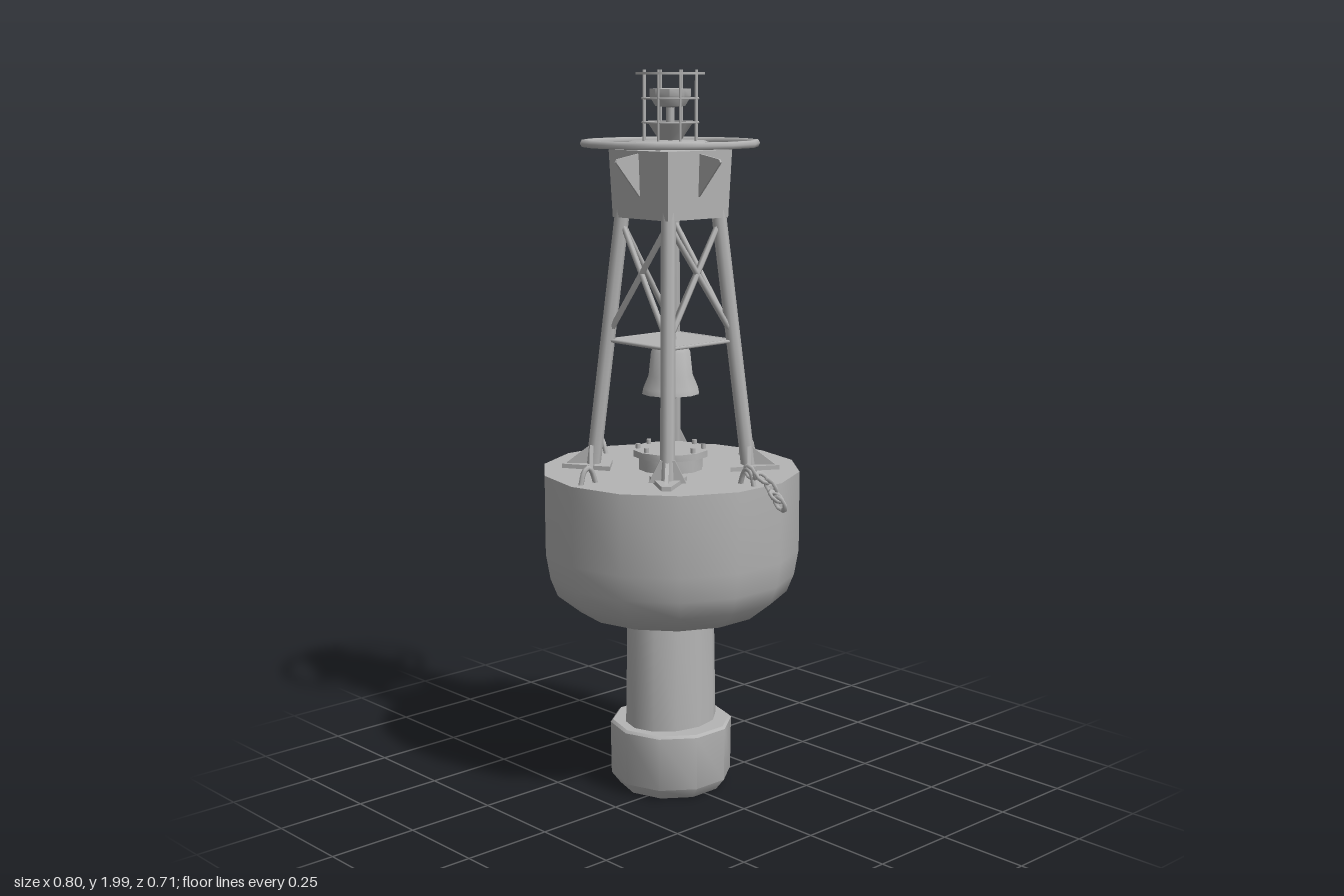
import * as THREE from 'three';
import { toCreasedNormals } from 'three/addons/utils/BufferGeometryUtils.js';

export function createModel() {
  const model = new THREE.Group();
  const buoy = new THREE.Group();
  buoy.name = 'buoy';
  buoy.position.x = -0.045;
  model.add(buoy);
  const grey = new THREE.MeshStandardMaterial({ color: 0xb4b4b4, side: THREE.DoubleSide });
  grey.name = 'grey paint';

  const V = (x, y, z) => new THREE.Vector3(x, y, z);
  function add(name, geo, x = 0, y = 0, z = 0, parent = buoy) {
    const m = new THREE.Mesh(geo, grey);
    m.name = name;
    m.position.set(x, y, z);
    parent.add(m);
    return m;
  }
  // Revolved profile, bottom to top, creased at sharp corners
  function lathe(name, pts, sides, parent = buoy) {
    const g = new THREE.LatheGeometry(pts.map(p => new THREE.Vector2(p[0], p[1])), sides);
    return add(name, toCreasedNormals(g, 0.7), 0, 0, 0, parent);
  }
  // Round bar between two points
  function bar(name, a, b, r, sides = 8, parent = buoy) {
    const m = add(name, new THREE.CylinderGeometry(r, r, a.distanceTo(b), sides), 0, 0, 0, parent);
    m.position.copy(a).add(b).multiplyScalar(0.5);
    m.quaternion.setFromUnitVectors(V(0, 1, 0), b.clone().sub(a).normalize());
    return m;
  }
  // Flat plate in the xy plane
  function plate(name, pts, depth, parent) {
    const s = new THREE.Shape(pts.map(p => new THREE.Vector2(p[0], p[1])));
    const g = new THREE.ExtrudeGeometry(s, { depth, bevelEnabled: false });
    g.translate(0, 0, -depth / 2);
    return add(name, g, 0, 0, 0, parent);
  }
  function turned(name, angle) {
    const g = new THREE.Group();
    g.name = name;
    g.rotation.y = angle;
    buoy.add(g);
    return g;
  }

  // Float body, stem and counterweight
  lathe('hull', [[0, 0.515], [0.2, 0.515], [0.26, 0.528], [0.325, 0.58], [0.345, 0.63],
    [0.357, 0.7], [0.357, 0.92], [0, 0.92]], 14);
  const stem = lathe('stem', [[0.115, 0.19], [0.11, 0.52]], 12);
  stem.scale.z = 1.2;
  lathe('counterweight', [[0, 0.008], [0.145, 0.008], [0.17, 0.04], [0.172, 0.19], [0.165, 0.197], [0, 0.197]], 10);
  const stemGusset = turned('stemGusset', Math.PI / 2);
  plate('stemGussetPlate', [[0.1, 0.43], [0.16, 0.517], [0.1, 0.517]], 0.012, stemGusset);

  // Deck hatch with flange and bolts
  lathe('hatch', [[0.09, 0.92], [0.09, 0.955], [0.105, 0.957], [0.105, 0.975], [0, 0.975]], 12);
  for (let i = 0; i < 8; i++) {
    const a = i * Math.PI / 4;
    add('hatchBolt', new THREE.CylinderGeometry(0.007, 0.007, 0.014, 6),
      0.09 * Math.cos(a), 0.981, 0.09 * Math.sin(a));
  }

  // Tower: legs, feet, lifting eyes, cross bracing and head fins on four sides
  const half = y => 0.152 - (y - 0.92) / 0.7 * 0.06;
  for (let i = 0; i < 4; i++) {
    const side = turned('towerSide', i * Math.PI / 2);
    const corner = (s, y) => V(s * half(y), y, half(y));
    bar('leg', corner(1, 0.92), corner(1, 1.63), 0.02, 8, side);
    bar('brace', corner(-1, 1.29), corner(1, 1.6), 0.008, 6, side);
    bar('brace', corner(1, 1.29), corner(-1, 1.6), 0.008, 6, side);
    bar('shelfEdge', corner(-1, 1.275), corner(1, 1.275), 0.005, 6, side);

    const foot = new THREE.Group();
    foot.name = 'foot';
    foot.rotation.y = -Math.PI / 4;
    side.add(foot);
    plate('footGusset', [[0.2, 0.925], [0.295, 0.925], [0.285, 0.935], [0.22, 0.985]], 0.01, foot);
    const cross = plate('footGusset', [[-0.05, 0.925], [0.05, 0.925], [0.02, 0.985], [-0.02, 0.985]], 0.01, foot);
    cross.rotation.y = Math.PI / 2;
    cross.position.x = 0.217;
    const base = plate('footPlate', [[0.165, -0.05], [0.3, -0.012], [0.3, 0.012], [0.165, 0.05]], 0.012, foot);
    base.rotation.x = Math.PI / 2;
    base.position.y = 0.926;

    const eye = new THREE.CatmullRomCurve3([V(0.325, 0.915, 0), V(0.312, 0.955, 0), V(0.296, 0.963, 0),
      V(0.285, 0.95, 0), V(0.272, 0.915, 0)]);
    add('liftingEye', new THREE.TubeGeometry(eye, 10, 0.007, 6), 0, 0, 0, side);
    plate('headFin', [[0.1, 1.655], [0.195, 1.762], [0.19, 1.77], [0.1, 1.785]], 0.006, side);
  }
  add('bellShelf', new THREE.BoxGeometry(0.245, 0.006, 0.245), 0, 1.275, 0);

  // Bell with crown and clapper
  lathe('bell', [[0.07, 1.13], [0.08, 1.13], [0.077, 1.145], [0.062, 1.18], [0.055, 1.245],
    [0.043, 1.262], [0, 1.264]], 12);
  add('bellCrown', new THREE.CylinderGeometry(0.014, 0.02, 0.035, 8), 0, 1.277, 0);
  add('clapperRod', new THREE.CylinderGeometry(0.006, 0.006, 0.12, 6), 0, 1.19, 0);
  add('clapper', new THREE.SphereGeometry(0.02, 8, 6), 0, 1.127, 0);

  // Head housing and roof
  const housing = new THREE.CylinderGeometry(0.117 * Math.SQRT2, 0.11 * Math.SQRT2, 0.18, 4, 1, false, Math.PI / 4);
  add('headHousing', toCreasedNormals(housing, 0.7), 0, 1.7, 0);
  const roof = new THREE.CylinderGeometry(0.1, 0.165, 0.022, 5);
  add('headRoof', toCreasedNormals(roof, 0.5), 0, 1.803, 0).rotation.y = 0.35;

  // Guard ring with struts
  const ring = add('guardRing', new THREE.TorusGeometry(0.231, 0.011, 6, 14), 0, 1.807, 0);
  ring.rotation.x = Math.PI / 2;

  // Lantern: base, lens, cage and lid
  add('lanternBase', new THREE.CylinderGeometry(0.06, 0.03, 0.045, 8), 0, 1.838, 0);
  add('lampPost', new THREE.CylinderGeometry(0.012, 0.012, 0.06, 6), 0, 1.885, 0);
  lathe('lens', [[0, 1.9], [0.04, 1.905], [0.055, 1.93], [0.055, 1.95], [0, 1.952]], 8);
  for (let i = 0; i < 8; i++) {
    const a = (i + 0.5) * Math.PI / 4;
    const x = 0.075 * Math.cos(a), z = 0.075 * Math.sin(a);
    bar('cageBar', V(x, 1.81, z), V(x, 2, z), 0.0035, 6);
  }
  for (const y of [1.862, 1.925]) {
    const hoop = add('cageHoop', new THREE.TorusGeometry(0.075, 0.003, 5, 16), 0, y, 0);
    hoop.rotation.x = Math.PI / 2;
  }
  add('lanternLid', new THREE.CylinderGeometry(0.092, 0.092, 0.006, 8), 0, 1.99, 0);

  // Mooring shackle and short chain over the deck edge
  const chain = new THREE.Group();
  chain.name = 'mooringChain';
  buoy.add(chain);
  const links = [V(0.31, 0.955, 0), V(0.345, 0.945, -0.01), V(0.375, 0.925, -0.012), V(0.405, 0.905, 0), V(0.425, 0.89, 0.005)];
  links.forEach((p, i) => {
    const link = add('chainLink', new THREE.TorusGeometry(0.014, 0.0055, 5, 8), p.x, p.y, p.z, chain);
    link.scale.x = 1.5;
    link.rotation.set(i % 2 ? Math.PI / 2 : 0, 0, -0.55, 'ZXY');
  });

  return model;
}
